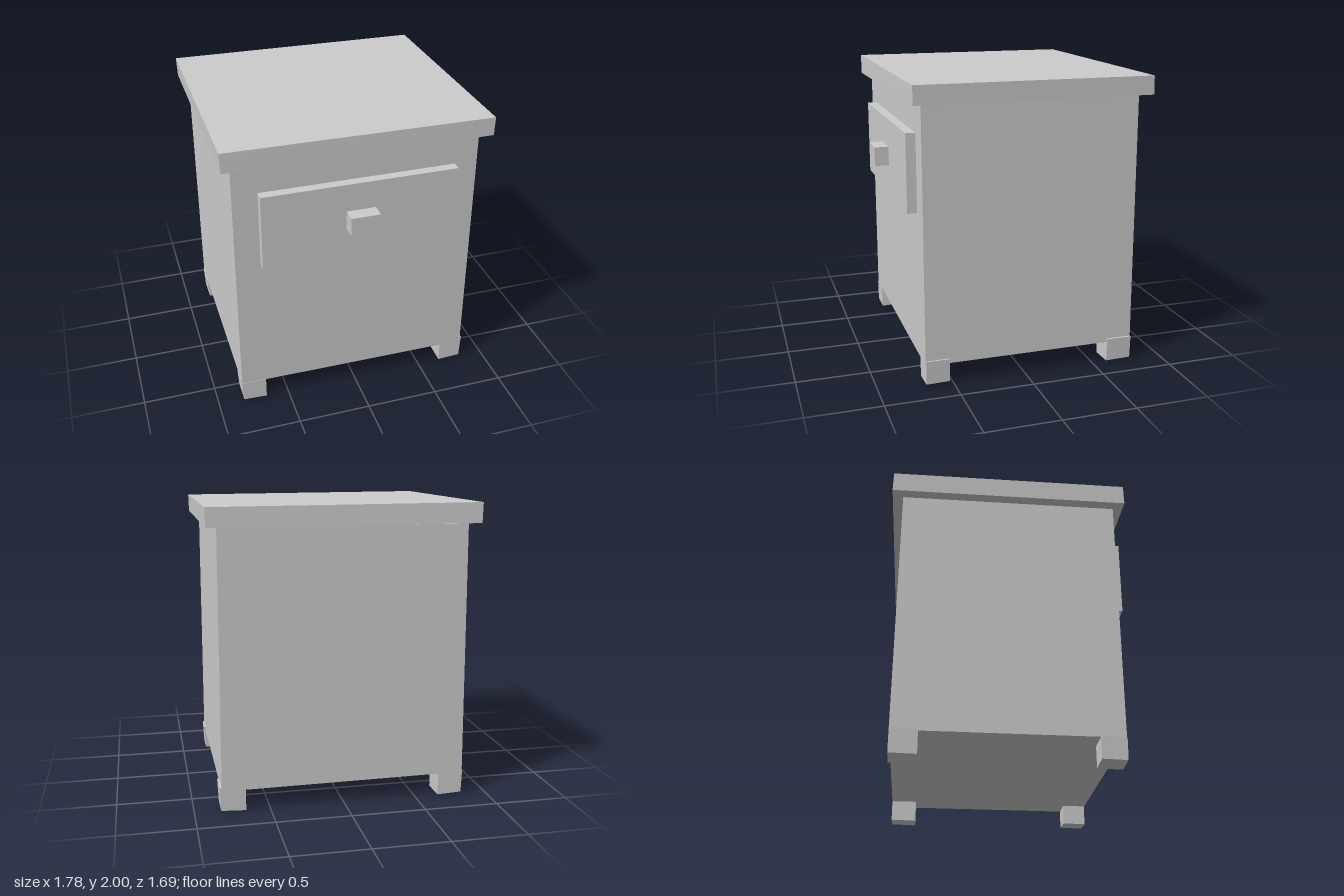
import * as THREE from 'three';

const paint = new THREE.MeshStandardMaterial({ color: 0xcccccc });
paint.name = 'plain grey';

// A box between two corners; each nudge [sx, sy, sz, dx, dy, dz] shifts the
// corner(s) on the given sides (0 matches both sides) for a hand-cut look.
function block(name, min, max, nudges = []) {
  const size = max.map((v, i) => v - min[i]);
  const mid = max.map((v, i) => (v + min[i]) / 2);
  const geometry = new THREE.BoxGeometry(...size);
  const pos = geometry.attributes.position;
  for (let i = 0; i < pos.count; i++) {
    const p = [pos.getX(i), pos.getY(i), pos.getZ(i)];
    const side = p.map(Math.sign);
    for (const n of nudges) {
      if (side.every((s, k) => n[k] === 0 || n[k] === s)) {
        for (let k = 0; k < 3; k++) p[k] += n[k + 3];
      }
    }
    pos.setXYZ(i, p[0] + mid[0], p[1] + mid[1], p[2] + mid[2]);
  }
  geometry.computeVertexNormals();
  const mesh = new THREE.Mesh(geometry, paint);
  mesh.name = name;
  return mesh;
}

export function createModel() {
  const model = new THREE.Group();
  model.name = 'bedsideCabinet';

  // Cabinet body, slightly out of square
  model.add(block('body', [-0.825, 0.145, -0.77], [0.82, 1.865, 0.687], [
    [-1, -1, 0, -0.005, 0.012, 0],
    [-1, 1, 0, 0, -0.007, 0],
    [1, 1, 0, -0.004, 0, 0],
    [0, -1, -1, 0, 0, -0.007],
  ]));

  // Overhanging top board
  model.add(block('topBoard', [-0.89, 1.866, -0.842], [0.887, 1.996, 0.752], [
    [-1, 1, 0, -0.005, 0.004, 0],
    [1, 1, 0, 0.003, -0.006, 0],
    [0, 1, -1, 0, 0, 0.004],
    [-1, -1, 1, 0, 0, 0.004],
  ]));

  // Drawer front and its knob
  model.add(block('drawerFront', [-0.66, 1.14, 0.66], [0.66, 1.662, 0.752]));
  model.add(block('drawerKnob', [-0.1, 1.338, 0.73], [0.097, 1.468, 0.848]));

  // Four stubby feet, each a little crooked
  const feet = [
    ['frontRightFoot', -0.827, -0.66, 0.525, 0.69, 0.01, 0.16],
    ['frontLeftFoot', 0.662, 0.827, 0.525, 0.685, 0.01, 0.178],
    ['backRightFoot', -0.83, -0.66, -0.777, -0.6, 0.005, 0.17],
    ['backLeftFoot', 0.662, 0.83, -0.777, -0.6, 0.004, 0.17],
  ];
  for (const [name, x0, x1, z0, z1, y0, y1] of feet) {
    const side = x0 < 0 ? -1 : 1;
    model.add(block(name, [x0, y0, z0], [x1, y1, z1], [
      [side, -1, 0, -side * 0.004, 0.008, 0],
      [side, 1, 0, side * 0.004, 0, 0],
      [0, -1, 1, 0, -0.004, 0],
    ]));
  }

  return model;
}
